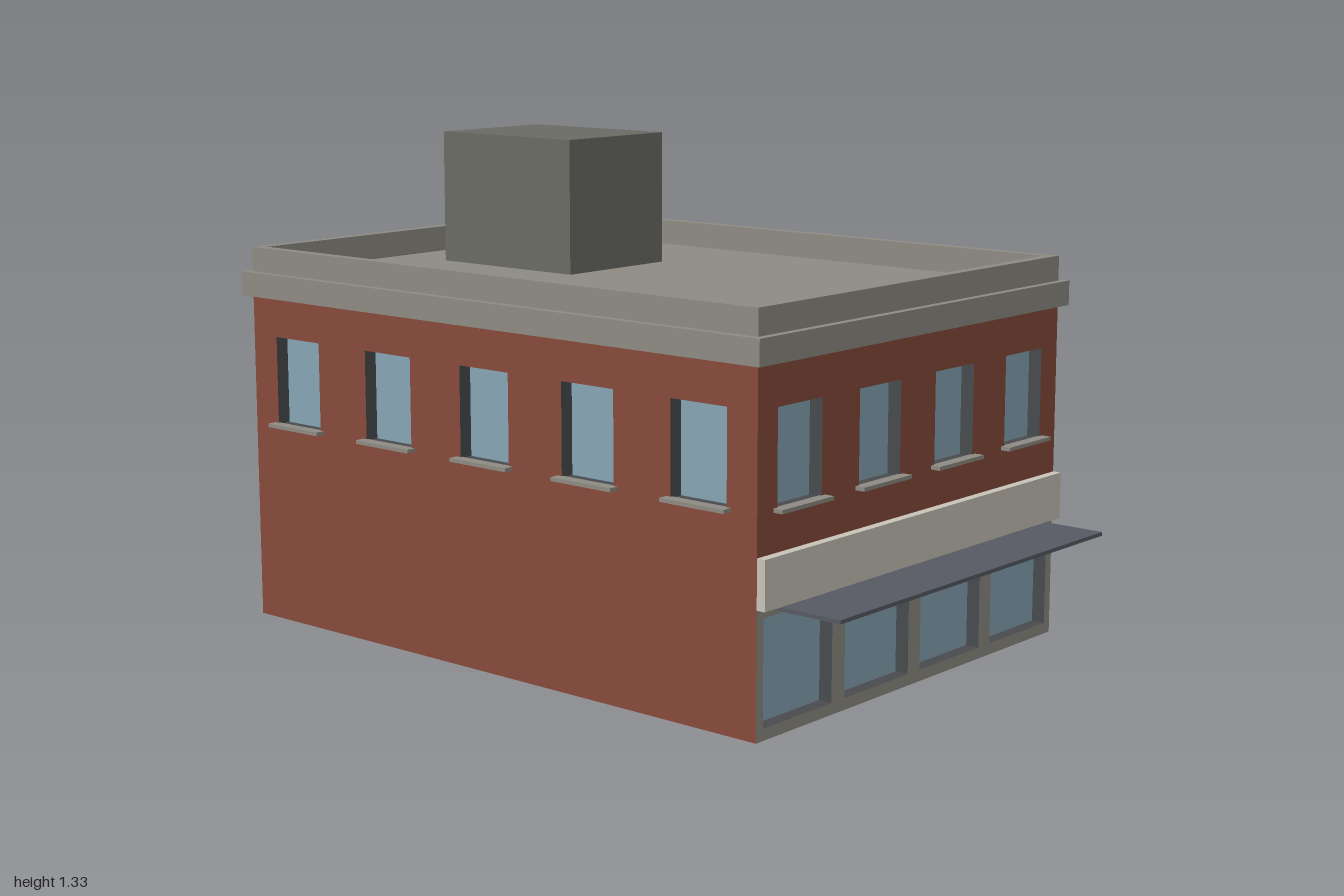
import * as THREE from 'three';

const W = 1.274, D = 1.775, ZC = -0.0825; // body width, depth, centre in z
const EAVE = 0.9, RECESS = 0.038;

const paint = (color, opts = {}) => new THREE.MeshStandardMaterial({ color, ...opts });
const mats = {
  brick: paint(0x874a3b, { side: THREE.DoubleSide }),
  stone: paint(0x8e8b83),
  shop: paint(0x8e8b83, { side: THREE.DoubleSide }),
  sign: paint(0xc8c3b9),
  glass: paint(0x86a5b4, { side: THREE.DoubleSide }),
  reveal: paint(0x484b4e, { side: THREE.DoubleSide, flatShading: true }),
  core: paint(0x2b2e33),
  roof: paint(0x8e8b83),
  house: paint(0x6b6b65),
  unit: paint(0x8c949b),
  awning: paint(0x565a62),
};

function add(parent, name, geometry, material, x = 0, y = 0, z = 0) {
  const mesh = new THREE.Mesh(geometry, material);
  mesh.name = name;
  mesh.position.set(x, y, z);
  parent.add(mesh);
  return mesh;
}

// Box given by its lower and upper limits
function block(parent, name, material, [x0, x1], [y0, y1], [z0, z1]) {
  return add(parent, name, new THREE.BoxGeometry(x1 - x0, y1 - y0, z1 - z0), material,
    (x0 + x1) / 2, (y0 + y1) / 2, (z0 + z1) / 2);
}

function rectangle(Type, x0, x1, y0, y1) {
  return new Type([[x0, y0], [x1, y0], [x1, y1], [x0, y1]].map(p => new THREE.Vector2(...p)));
}

// Wall facing +z with a row of evenly spaced recessed windows
function wall(name, material, length, [y0, y1], count, w, [b, t], sills) {
  const group = new THREE.Group();
  group.name = name;
  const shape = rectangle(THREE.Shape, -length / 2, length / 2, y0, y1);
  for (let i = 0; i < count; i++) {
    const x = (i - (count - 1) / 2) * length / count, h = t - b, y = (b + t) / 2;
    shape.holes.push(rectangle(THREE.Path, x - w / 2, x + w / 2, b, t));
    // Four-sided open tube lining the opening
    const lining = new THREE.CylinderGeometry(Math.SQRT1_2, Math.SQRT1_2, RECESS, 4, 1, true);
    lining.rotateY(Math.PI / 4).rotateX(Math.PI / 2).scale(w, h, 1);
    add(group, 'windowReveal', lining, mats.reveal, x, y, -RECESS / 2);
    add(group, 'windowGlass', new THREE.PlaneGeometry(w, h), mats.glass, x, y, -RECESS);
    if (sills) block(group, 'windowSill', mats.stone, [x - 0.099, x + 0.099], [b - 0.007, b + 0.003], [-0.005, 0.027]);
  }
  add(group, name + 'Face', new THREE.ShapeGeometry(shape), material);
  return group;
}

// Rectangular ring around the building, out from and in from the wall line
function ring(parent, name, material, out, inset, [y0, y1]) {
  const outline = (Type, d) => rectangle(Type, -W / 2 - d, W / 2 + d, -D / 2 - d, D / 2 + d);
  const shape = outline(THREE.Shape, out);
  shape.holes.push(outline(THREE.Path, -inset));
  const geometry = new THREE.ExtrudeGeometry(shape, { depth: y1 - y0, bevelEnabled: false });
  geometry.rotateX(-Math.PI / 2);
  add(parent, name, geometry, material, 0, y0, ZC);
}

export function createModel() {
  const model = new THREE.Group();
  model.name = 'cornerShopBuilding';
  const upper = [0.552, 0.793];

  // Walls: front above a shopfront, back, and two sides
  const front = wall('frontWall', mats.brick, W, [0.32, EAVE], 4, 0.17, upper, true);
  const shop = wall('shopfront', mats.shop, W, [0, 0.32], 4, 0.267, [0.03, 0.298], false);
  front.position.z = shop.position.z = ZC + D / 2;
  const back = wall('backWall', mats.brick, W, [0, EAVE], 4, 0.17, upper, true);
  back.position.z = ZC - D / 2;
  back.rotation.y = Math.PI;
  model.add(front, shop, back);
  for (const s of [1, -1]) {
    const side = wall(s > 0 ? 'leftWall' : 'rightWall', mats.brick, D, [0, EAVE], 5, 0.172, upper, true);
    side.position.set(s * W / 2, 0, ZC);
    side.rotation.y = s * Math.PI / 2;
    model.add(side);
  }

  // Dark interior behind the windows
  const k = 0.064;
  block(model, 'interiorCore', mats.core, [-W / 2 + k, W / 2 - k], [0.018, EAVE],
    [ZC - D / 2 + k, ZC + D / 2 - k]);

  // Sign band and awning over the shopfront
  const zf = ZC + D / 2;
  block(model, 'signBand', mats.sign, [-W / 2, W / 2], [0.322, 0.447], [zf, zf + 0.024]);
  block(model, 'awning', mats.awning, [-0.573, 0.573], [0.311, 0.321], [zf, 1]);

  // Cornice, parapet and roof deck
  ring(model, 'cornice', mats.stone, 0.021, 0.029, [EAVE, 0.966]);
  ring(model, 'parapet', mats.stone, 0, 0.029, [0.966, 1.033]);
  block(model, 'roofDeck', mats.roof, [-W / 2 + 0.029, W / 2 - 0.029], [EAVE, 0.962],
    [ZC - D / 2 + 0.029, ZC + D / 2 - 0.029]);

  // Rooftop structures
  block(model, 'stairHouse', mats.house, [-0.103, 0.277], [0.962, 1.328], [-0.765, -0.28]);
  block(model, 'coolingUnit', mats.unit, [0.143, 0.403], [0.962, 1.105], [-0.858, -0.683]);

  return model;
}
